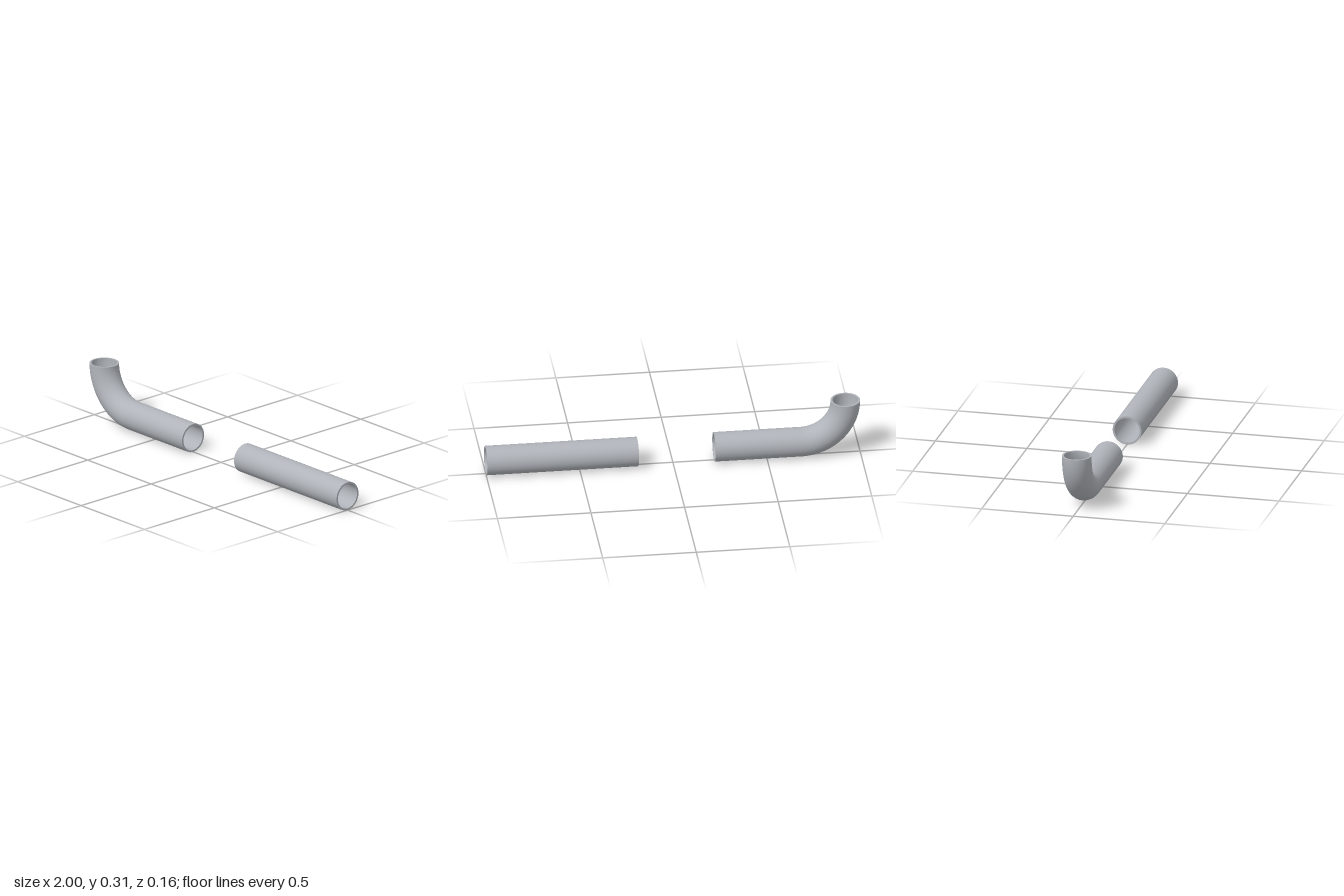
import * as THREE from 'three';

const OUTER = 0.0785, INNER = 0.0685; // pipe radii
const BEND = 0.2365;                  // centre-line radius of the elbow
const SIDES = 64;

const steel = new THREE.MeshStandardMaterial({ color: 0xb0b4ba });
steel.name = 'steel grey';

// Turn a surface inside out so that it lines the bore
function inward(geometry) {
  const index = geometry.index, normal = geometry.attributes.normal;
  for (let i = 0; i < index.count; i += 3) {
    const a = index.getX(i);
    index.setX(i, index.getX(i + 1));
    index.setX(i + 1, a);
  }
  for (let i = 0; i < normal.count; i++) {
    normal.setXYZ(i, -normal.getX(i), -normal.getY(i), -normal.getZ(i));
  }
  return geometry;
}

function add(parent, name, geometry) {
  const mesh = new THREE.Mesh(geometry, steel);
  mesh.name = name;
  parent.add(mesh);
  return mesh;
}

// Flat annular rim at a pipe end
const rim = () => new THREE.RingGeometry(INNER, OUTER, SIDES);

// Straight tube wall running along x
function addStraight(parent, x0, x1) {
  const wall = (r) => new THREE.CylinderGeometry(r, r, x1 - x0, SIDES, 1, true)
    .rotateZ(Math.PI / 2).translate((x0 + x1) / 2, OUTER, 0);
  add(parent, 'straightWall', wall(OUTER));
  add(parent, 'straightBore', inward(wall(INNER)));
}

export function createModel() {
  const model = new THREE.Group();
  model.name = 'pipes';

  // Straight pipe, open at both ends
  const straight = new THREE.Group();
  straight.name = 'straightPipe';
  addStraight(straight, 0.19, 1);
  add(straight, 'leftRim', rim().rotateY(Math.PI / 2).translate(1, OUTER, 0));
  add(straight, 'rightRim', rim().rotateY(-Math.PI / 2).translate(0.19, OUTER, 0));

  // Bent pipe: a straight run and a quarter-turn elbow opening upward
  const bent = new THREE.Group();
  bent.name = 'bentPipe';
  const elbowX = -1 + OUTER + BEND, top = OUTER + BEND;
  addStraight(bent, elbowX, -0.22);
  const elbow = (r) => new THREE.TorusGeometry(BEND, r, SIDES, 40, Math.PI / 2)
    .rotateZ(Math.PI).translate(elbowX, top, 0);
  add(bent, 'elbowWall', elbow(OUTER));
  add(bent, 'elbowBore', inward(elbow(INNER)));
  add(bent, 'sideRim', rim().rotateY(Math.PI / 2).translate(-0.22, OUTER, 0));
  add(bent, 'topRim', rim().rotateX(-Math.PI / 2).translate(elbowX - BEND, top, 0));

  model.add(straight, bent);
  return model;
}
